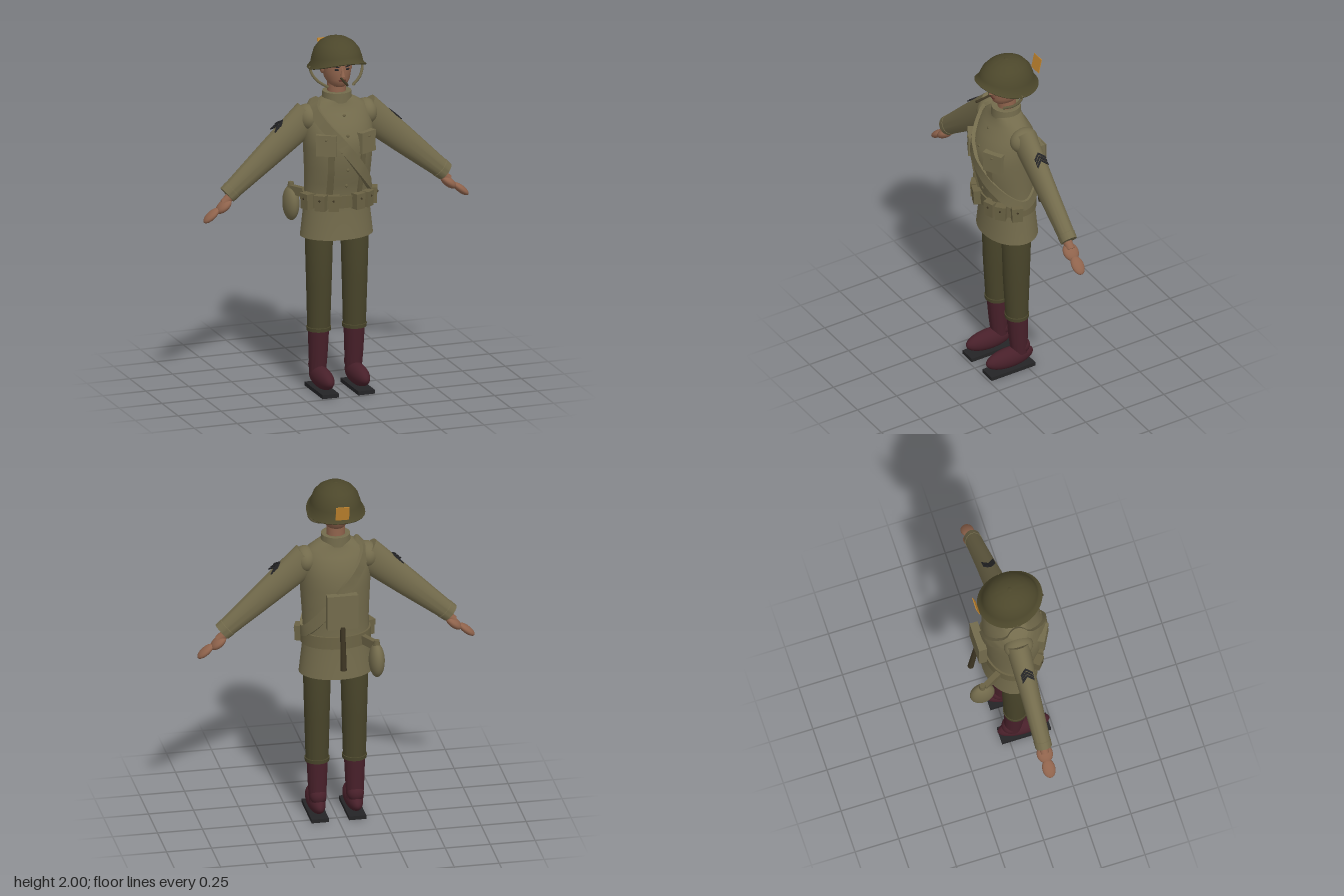
import * as THREE from 'three';
import { toCreasedNormals } from 'three/addons/utils/BufferGeometryUtils.js';

const mat = (name, color, side = THREE.FrontSide) => {
  const m = new THREE.MeshStandardMaterial({ color, side });
  m.name = name;
  return m;
};

// Closed elliptical loft; rings run bottom to top as [y, centreZ, radiusX, radiusZ]
function loft(rings, n = 36) {
  const pos = [], idx = [];
  rings.forEach(([y, cz, rx, rz], j) => {
    for (let i = 0; i < n; i++) {
      const a = (i / n) * Math.PI * 2;
      pos.push(rx * Math.sin(a), y, cz + rz * Math.cos(a));
      if (j < rings.length - 1) {
        const p = j * n + i, q = j * n + ((i + 1) % n);
        idx.push(p, q, q + n, p, q + n, p + n);
      }
    }
  });
  const g = new THREE.BufferGeometry();
  g.setAttribute('position', new THREE.Float32BufferAttribute(pos, 3));
  g.setIndex(idx);
  return toCreasedNormals(g, 0.8);
}

// Tunic cross-sections above the hem
const TORSO = [
  [0.88, 0.043, 0.205, 0.153], [1.04, 0.043, 0.187, 0.138], [1.13, 0.045, 0.182, 0.137],
  [1.2, 0.053, 0.183, 0.148], [1.28, 0.06, 0.187, 0.162], [1.4, 0.067, 0.194, 0.172],
  [1.47, 0.063, 0.197, 0.165], [1.54, 0.053, 0.192, 0.137], [1.59, 0.05, 0.178, 0.108],
  [1.62, 0.05, 0.155, 0.088], [1.645, 0.05, 0.115, 0.08], [1.665, 0.05, 0.075, 0.076],
];

// Point on the tunic surface at height y and angle a (0 = front, +90 degrees = left)
function onTorso(y, a) {
  let k = 0;
  while (k < TORSO.length - 2 && TORSO[k + 1][0] < y) k++;
  const A = TORSO[k], B = TORSO[k + 1];
  const t = THREE.MathUtils.clamp((y - A[0]) / (B[0] - A[0]), 0, 1);
  const [cz, rx, rz] = [1, 2, 3].map(i => A[i] + (B[i] - A[i]) * t);
  return new THREE.Vector3(rx * Math.sin(a), y, cz + rz * Math.cos(a));
}

// Flat strap with a rectangular section, following a path over the tunic
function strap(path, width, thick, n = 64) {
  const pos = [], idx = [];
  for (let i = 0; i <= n; i++) {
    const p = path(i / n);
    const T = path(i / n + 0.004).sub(path(i / n - 0.004)).normalize();
    const N = new THREE.Vector3(p.x, Math.max(0, p.y - 1.5), p.z - 0.05).normalize();
    const B = T.clone().cross(N).normalize();
    N.copy(B).cross(T);
    for (const [b, h] of [[-1, -1], [1, -1], [1, 1], [-1, 1]]) {
      const v = p.clone().addScaledVector(B, b * width / 2).addScaledVector(N, h * thick);
      pos.push(v.x, v.y, v.z);
    }
    if (i < n) for (let k = 0; k < 4; k++) {
      const a = i * 4 + k, c = i * 4 + ((k + 1) % 4);
      idx.push(a, a + 4, c, c, a + 4, c + 4);
    }
  }
  const g = new THREE.BufferGeometry();
  g.setAttribute('position', new THREE.Float32BufferAttribute(pos, 3));
  g.setIndex(idx);
  return toCreasedNormals(g, 0.6);
}

export function createModel() {
  const root = new THREE.Group();
  root.name = 'soldier';
  const khaki = mat('khaki cloth', 0x736b4c), webbing = mat('webbing', 0x6a6244, THREE.DoubleSide);
  const olive = mat('trouser olive', 0x48442a), steel = mat('helmet olive', 0x4c472b);
  const leather = mat('boot leather', 0x48202a), skin = mat('skin', 0x8f634c);
  const black = mat('black', 0x242426), orange = mat('orange patch', 0xc4872f);
  const wood = mat('dark wood', 0x3c3422), lip = mat('lips', 0x5e2f28);

  const add = (name, geo, m, x = 0, y = 0, z = 0, parent = root) => {
    const mesh = new THREE.Mesh(geo, m);
    mesh.name = name;
    mesh.position.set(x, y, z);
    parent.add(mesh);
    return mesh;
  };
  const box = (w, h, d) => new THREE.BoxGeometry(w, h, d);
  const ball = (rx, ry, rz) => new THREE.SphereGeometry(1, 28, 20).scale(rx, ry, rz);
  const rod = (r0, r1, h, n = 20) => new THREE.CylinderGeometry(r0, r1, h, n);

  // Tunic with hollow hem, collar and belt
  add('tunic', loft([[0.95, 0.043, 0, 0], [0.95, 0.043, 0.18, 0.13], [0.88, 0.043, 0.195, 0.143],
    ...TORSO, [1.67, 0.05, 0, 0]], 48), khaki);
  add('collar', loft([[1.64, 0.05, 0.083, 0.083], [1.695, 0.05, 0.079, 0.081],
    [1.698, 0.05, 0.06, 0.06], [1.67, 0.05, 0, 0]]), khaki);
  add('belt', loft([[1.06, 0.043, 0.18, 0.13], [1.06, 0.043, 0.195, 0.147],
    [1.13, 0.045, 0.193, 0.147], [1.13, 0.045, 0.18, 0.13]], 48), webbing);
  for (const y of [1.58, 1.48, 1.385, 1.285, 1.19]) {
    add('button', ball(0.009, 0.009, 0.005), webbing, 0, y, onTorso(y, 0).z + 0.001);
  }

  // Bandolier loop from right shoulder to left hip
  add('bandolier', strap(t => {
    const a = t * Math.PI * 2;
    const p = onTorso(1.385 - 0.255 * Math.sin(a), a);
    return p.add(new THREE.Vector3(Math.sin(a), 0, Math.cos(a)).multiplyScalar(0.005));
  }, 0.06, 0.01, 96), khaki);

  for (const s of [-1, 1]) {
    // Chest pocket, flap and suspender
    const pocket = new THREE.Group();
    pocket.name = 'chestPocket';
    pocket.position.copy(onTorso(1.43, s * 0.64));
    pocket.rotation.set(-0.03, s * 0.5, 0, 'YXZ');
    root.add(pocket);
    add('pocketBody', box(0.11, 0.115, 0.035), khaki, 0, 0, 0, pocket);
    add('pocketFlap', box(0.115, 0.035, 0.04), khaki, 0, 0.043, 0, pocket);
    add('pocketButton', ball(0.007, 0.007, 0.004), webbing, 0, 0.035, 0.021, pocket);
    add('suspender', strap(t => onTorso(1.12 + 0.26 * t, s * 0.5), 0.035, 0.006, 12), webbing);

    // Ammunition pouches along the belt
    for (const a of [0.36, 0.72, 1.22]) {
      const p = onTorso(1.095, s * a);
      const pouch = new THREE.Group();
      pouch.name = 'ammoPouch';
      pouch.position.copy(p);
      pouch.rotation.y = s * a;
      root.add(pouch);
      add('pouchBody', box(0.058, 0.085, 0.07), webbing, 0, 0, 0.008, pouch);
      add('pouchFlap', box(0.062, 0.035, 0.076), webbing, 0, 0.028, 0.008, pouch);
      add('pouchStud', ball(0.006, 0.006, 0.004), wood, 0, 0.018, 0.047, pouch);
    }

    // Arm with cuff, hand and chevrons
    add('shoulder', ball(0.062, 0.073, 0.082), khaki, s * 0.172, 1.555, 0.042);
    const arm = new THREE.Group();
    arm.name = s > 0 ? 'leftArm' : 'rightArm';
    arm.position.set(s * 0.159, 1.565, 0.037);
    arm.rotation.z = s * 0.866;
    root.add(arm);
    add('sleeve', loft([[-0.625, 0, 0, 0], [-0.625, 0, 0.053, 0.046], [-0.585, 0, 0.056, 0.048],
      [-0.583, 0, 0.054, 0.046], [-0.3, 0, 0.076, 0.053], [0, 0, 0.095, 0.066], [0, 0, 0, 0]]), khaki, 0, 0, 0, arm);
    add('wrist', rod(0.026, 0.024, 0.07), skin, -s * 0.022, -0.635, 0, arm);
    add('palm', ball(0.026, 0.053, 0.045), skin, -s * 0.035, -0.68, 0, arm);
    add('fingers', ball(0.021, 0.056, 0.036), skin, -s * 0.024, -0.765, 0, arm);
    const chevron = new THREE.Shape([[-0.034, -0.02], [0, 0.012], [0.034, -0.02],
      [0.034, -0.006], [0, 0.026], [-0.034, -0.006]].map(p => new THREE.Vector2(...p)));
    for (let k = 0; k < 3; k++) {
      const g = new THREE.ExtrudeGeometry(chevron, { depth: 0.006, bevelEnabled: false });
      const c = add('chevron', g, black, s * (0.0835 - k * 0.0014), -0.148 - k * 0.019, 0, arm);
      c.rotation.y = s * Math.PI / 2;
    }

    // Leg, boot and sole
    const leg = new THREE.Group();
    leg.name = s > 0 ? 'leftLeg' : 'rightLeg';
    leg.position.x = s * 0.104;
    root.add(leg);
    add('trouserLeg', loft([[0.34, 0.045, 0.05, 0.05], [0.34, 0.045, 0.067, 0.066], [0.36, 0.045, 0.068, 0.067],
      [0.362, 0.045, 0.063, 0.063], [0.6, 0.048, 0.069, 0.075], [0.9, 0.048, 0.077, 0.084],
      [0.96, 0.048, 0.07, 0.075]]), olive, 0, 0, 0, leg);
    add('bootShaft', loft([[0.1, 0.03, 0.046, 0.046], [0.2, 0.036, 0.052, 0.053],
      [0.35, 0.042, 0.058, 0.06]]), leather, 0, 0, 0, leg);
    add('ankle', ball(0.047, 0.048, 0.048), leather, 0, 0.135, 0.016, leg);
    add('foot', ball(0.05, 0.06, 0.148), leather, 0, 0.08, 0.092, leg);
    add('sole', box(0.096, 0.022, 0.28), black, 0, 0.011, 0.095, leg);

    // Ear, eye, brow and chin strap
    add('ear', ball(0.012, 0.03, 0.02), skin, s * 0.081, 1.825, 0.035);
    const eye = add('eye', ball(0.013, 0.006, 0.004), black, s * 0.032, 1.833, 0.132);
    eye.rotation.y = s * 0.35;
    const brow = add('brow', box(0.034, 0.006, 0.006), black, s * 0.034, 1.85, 0.132);
    brow.rotation.set(0, s * 0.4, s * 0.12);
    const path = new THREE.CatmullRomCurve3([[0.152, 1.84, 0.035], [0.148, 1.805, 0.05],
      [0.122, 1.765, 0.078], [0.072, 1.733, 0.11]].map(p => new THREE.Vector3(s * p[0], p[1], p[2])));
    add('chinStrap', new THREE.TubeGeometry(path, 20, 0.008, 8), webbing);
  }

  // Head and face
  add('neck', rod(0.05, 0.052, 0.11), skin, 0, 1.72, 0.045);
  add('head', loft([[1.725, 0.07, 0, 0], [1.728, 0.07, 0.032, 0.045], [1.742, 0.06, 0.052, 0.07],
    [1.77, 0.05, 0.068, 0.088], [1.81, 0.045, 0.077, 0.094], [1.86, 0.045, 0.081, 0.095],
    [1.91, 0.045, 0.07, 0.08], [1.94, 0.045, 0, 0]]), skin);
  add('nose', loft([[1.793, 0.142, 0, 0], [1.797, 0.142, 0.013, 0.016], [1.845, 0.134, 0.005, 0.006]], 12), skin);
  add('mouth', ball(0.022, 0.006, 0.006), lip, 0, 1.772, 0.136);
  const cigar = add('cigar', rod(0.007, 0.006, 0.1, 12), wood, -0.008, 1.779, 0.187);
  cigar.rotation.x = Math.PI / 2 + 0.12;

  // Helmet with a brim that rises at the front and droops at the sides
  const profile = [[0, 1.97], [0.09, 1.95], [0.13, 1.89], [0.142, 1.853], [0.163, 1.841], [0.166, 1.846],
    [0.148, 1.86], [0.141, 1.89], [0.127, 1.93], [0.1, 1.964], [0.065, 1.986], [0.03, 1.996], [0, 1.998]];
  const dome = new THREE.LatheGeometry(profile.map(p => new THREE.Vector2(...p)), 48);
  const v = dome.attributes.position;
  for (let i = 0; i < v.count; i++) {
    const x = v.getX(i), y = v.getY(i), z = v.getZ(i) * 1.09;
    const w = THREE.MathUtils.clamp((1.95 - y) / 0.1, 0, 1);
    v.setXYZ(i, x * 0.97, y + w * (0.167 * z + 0.012 - 0.025 * (x / 0.16) ** 2), z);
  }
  add('helmet', toCreasedNormals(dome, 0.9), steel, 0, 0, 0.047);
  add('helmetRivet', ball(0.014, 0.005, 0.014), steel, 0, 1.995, 0.047);
  const patch = add('helmetPatch', box(0.075, 0.085, 0.004), orange, 0, 1.895, -0.146);
  patch.rotation.x = -0.22;

  // Back pack with entrenching tool
  add('pack', box(0.17, 0.2, 0.04), khaki, 0, 1.3, -0.13);
  add('packFlap', box(0.174, 0.19, 0.008), khaki, 0, 1.307, -0.152);
  const tool = add('toolHandle', rod(0.014, 0.017, 0.25, 14), wood, 0, 1.09, -0.162);
  tool.rotation.x = 0.12;

  // Canteen on the right hip
  add('canteen', ball(0.043, 0.098, 0.07), khaki, -0.185, 1.01, -0.17);
  add('canteenNeck', rod(0.015, 0.02, 0.035, 16), webbing, -0.185, 1.112, -0.17);
  const hanger = add('canteenHanger', box(0.03, 0.05, 0.13), webbing, -0.155, 1.09, -0.1);
  hanger.rotation.y = 0.5;
  return root;
}
